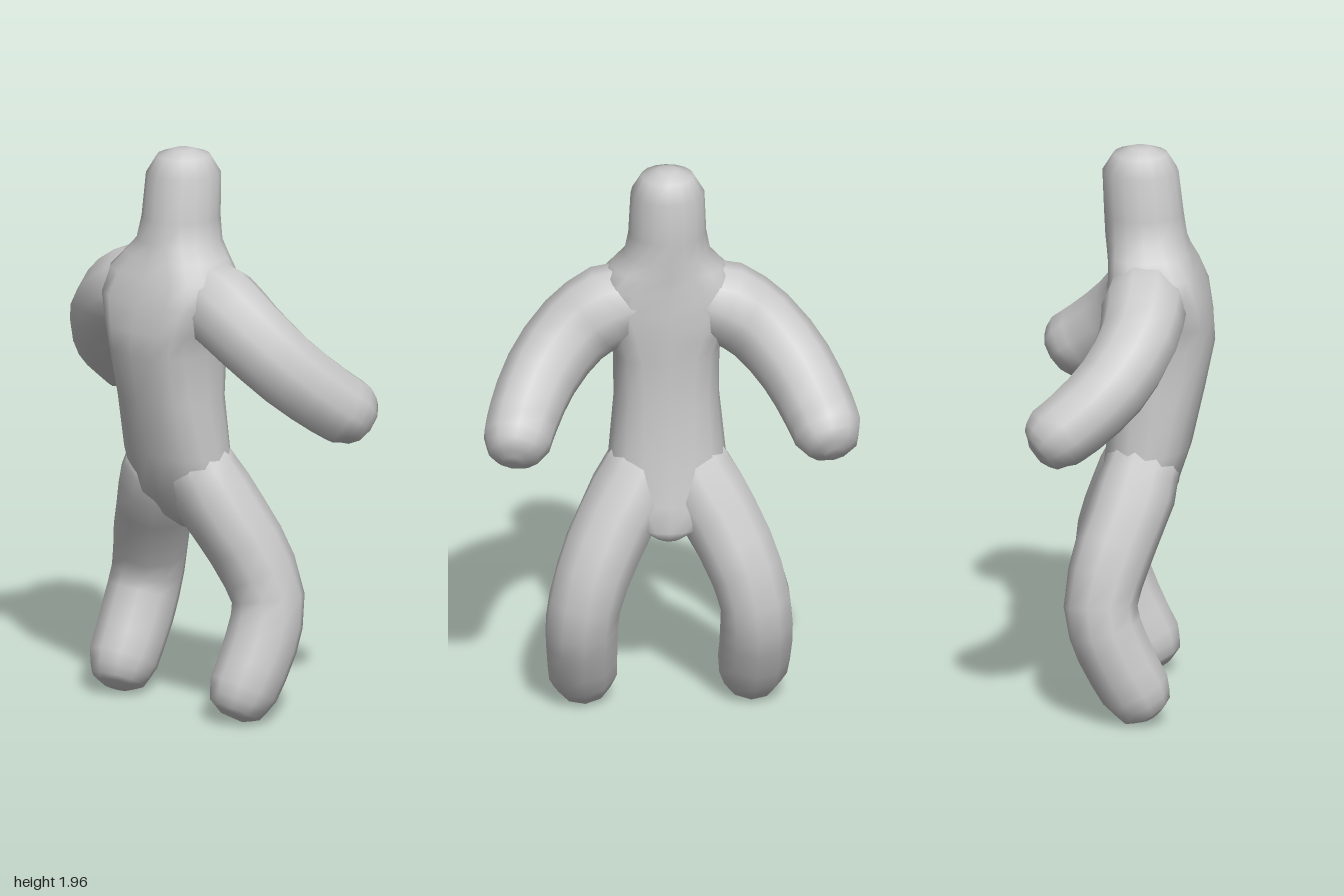
import * as THREE from 'three';

const material = new THREE.MeshStandardMaterial({ color: 0xcccccc });

// Skin a list of closed rings (counter-clockwise about the path) and cap both ends.
function skin(rings) {
  const n = rings[0].length, positions = [], index = [];
  rings.forEach(ring => ring.forEach(p => positions.push(p.x, p.y, p.z)));
  for (let i = 0; i < rings.length - 1; i++) {
    for (let j = 0; j < n; j++) {
      const a = i * n + j, b = i * n + (j + 1) % n;
      index.push(a, b, b + n, a, b + n, a + n);
    }
  }
  const last = (rings.length - 1) * n;
  [0, last].forEach((start, end) => {
    const c = new THREE.Vector3();
    rings[end ? rings.length - 1 : 0].forEach(p => c.addScaledVector(p, 1 / n));
    const centre = positions.length / 3;
    positions.push(c.x, c.y, c.z);
    for (let j = 0; j < n; j++) {
      const a = start + j, b = start + (j + 1) % n;
      if (end) index.push(centre, a, b); else index.push(centre, b, a);
    }
  });
  const g = new THREE.BufferGeometry();
  g.setAttribute('position', new THREE.Float32BufferAttribute(positions, 3));
  g.setIndex(index);
  g.computeVertexNormals();
  return g;
}

// Torso ring: height, z centre, half width, half depth, squareness.
function torsoRing([y, zc, rx, rz, p], sides = 16) {
  const round = v => Math.sign(v) * Math.abs(v) ** (2 / p);
  return Array.from({ length: sides }, (_, j) => {
    const a = j / sides * Math.PI * 2;
    return new THREE.Vector3(rx * round(Math.sin(a)), y, zc + rz * round(Math.cos(a)));
  });
}

// Limb: stations of x, y, z, radius; ref fixes the roll of the rings.
function limb(stations, ref, side, sides = 10, steps = 2) {
  const curve = new THREE.CatmullRomCurve3(
    stations.map(([x, y, z]) => new THREE.Vector3(x * side, y, z)));
  const up = new THREE.Vector3(ref[0] * side, ref[1], ref[2]);
  const spans = stations.length - 1, rings = [];
  for (let i = 0; i <= spans * steps; i++) {
    const s = i / steps, k = Math.min(Math.floor(s), spans - 1);
    const r = THREE.MathUtils.lerp(stations[k][3], stations[k + 1][3], s - k);
    const centre = curve.getPoint(s / spans), t = curve.getTangent(s / spans);
    const n = new THREE.Vector3().crossVectors(t, up).normalize();
    const b = new THREE.Vector3().crossVectors(t, n);
    rings.push(Array.from({ length: sides }, (_, j) => {
      const a = j / sides * Math.PI * 2;
      return centre.clone().addScaledVector(n, r * Math.cos(a)).addScaledVector(b, r * Math.sin(a));
    }));
  }
  return skin(rings);
}

export function createModel() {
  const group = new THREE.Group();
  const add = (name, geometry) => {
    const mesh = new THREE.Mesh(geometry, material);
    mesh.name = name;
    group.add(mesh);
  };

  // Torso, neck and head in one skin, from the crotch up
  add('torsoAndHead', skin([
    [0.67, 0.00, 0.05, 0.06, 2],
    [0.71, 0.01, 0.13, 0.10, 2],
    [0.80, 0.055, 0.20, 0.13, 2.2],
    [0.95, 0.09, 0.20, 0.145, 2.3],
    [1.15, 0.12, 0.18, 0.16, 2.5],
    [1.32, 0.135, 0.182, 0.18, 2.8],
    [1.40, 0.13, 0.20, 0.18, 3.2],
    [1.50, 0.12, 0.235, 0.172, 3.5],
    [1.58, 0.105, 0.235, 0.155, 3],
    [1.64, 0.09, 0.19, 0.145, 2.4],
    [1.69, 0.08, 0.148, 0.14, 2.1],
    [1.77, 0.072, 0.133, 0.136, 2],
    [1.92, 0.06, 0.126, 0.13, 2],
    [1.98, 0.06, 0.09, 0.093, 2],
    [2.00, 0.06, 0.035, 0.035, 2],
  ].map(r => torsoRing(r))));

  // Arms sweep outwards, down and back; legs bend at the knee
  const arm = [
    [0.06, 1.53, 0.08, 0.12],
    [0.20, 1.49, 0.085, 0.145],
    [0.32, 1.41, 0.07, 0.138],
    [0.435, 1.285, -0.01, 0.132],
    [0.505, 1.175, -0.13, 0.125],
    [0.53, 1.125, -0.20, 0.12],
    [0.545, 1.085, -0.245, 0.088],
    [0.55, 1.07, -0.265, 0.035],
  ];
  const leg = [
    [0.07, 0.94, 0.085, 0.12],
    [0.13, 0.81, 0.05, 0.14],
    [0.225, 0.635, -0.015, 0.135],
    [0.29, 0.45, -0.058, 0.126],
    [0.298, 0.30, -0.015, 0.127],
    [0.29, 0.155, 0.06, 0.122],
    [0.283, 0.085, 0.095, 0.093],
    [0.28, 0.06, 0.108, 0.04],
  ];
  for (const [label, side] of [['left', 1], ['right', -1]]) {
    add(label + 'Arm', limb(arm, [0.3, 0.8, -0.55], side));
    add(label + 'Leg', limb(leg, [1, 0, 0], side));
  }
  return group;
}
